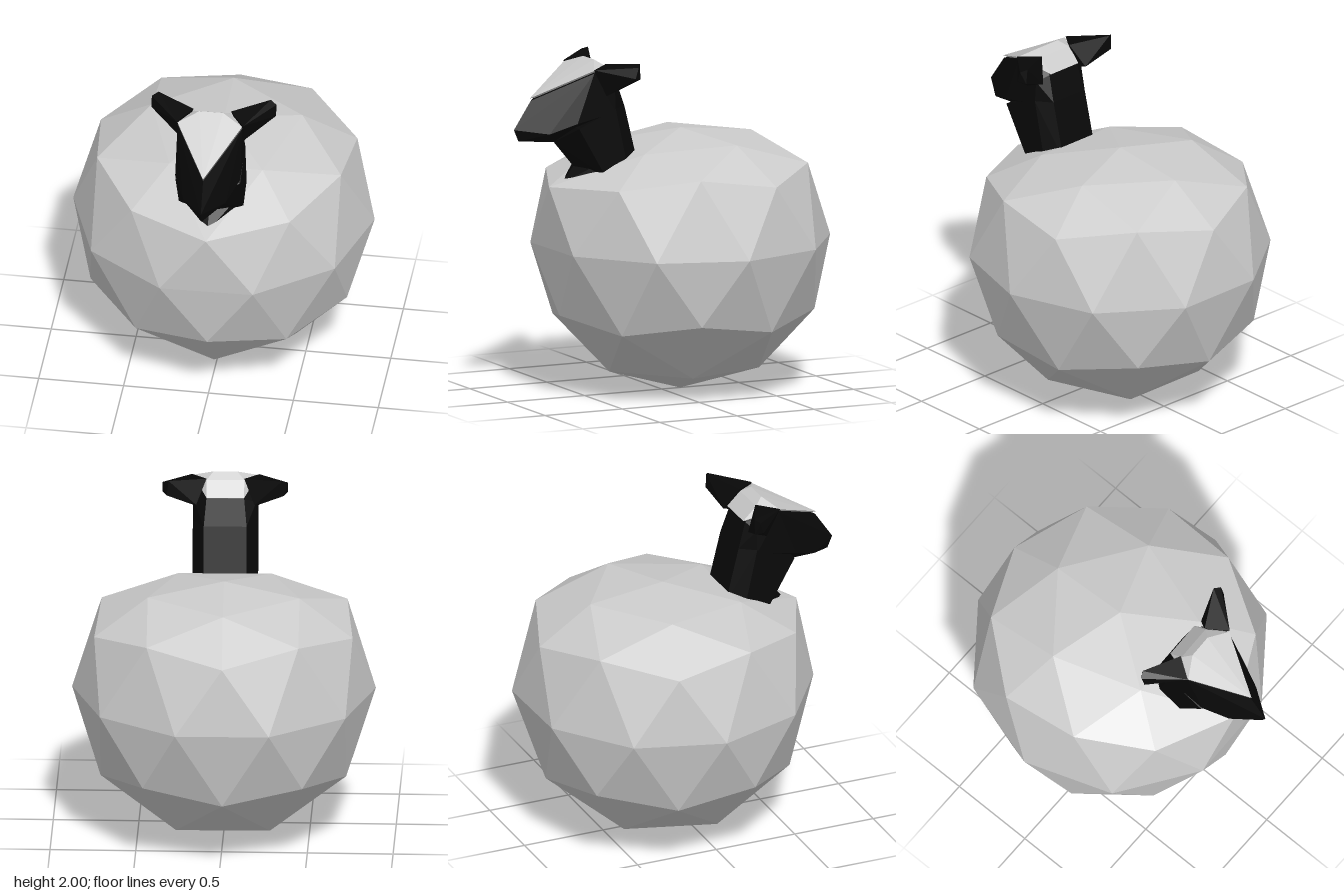
import * as THREE from 'three';
import { ConvexGeometry } from 'three/addons/geometries/ConvexGeometry.js';

const wool = new THREE.MeshStandardMaterial({ color: 0xcccccc, flatShading: true });
const black = new THREE.MeshStandardMaterial({ color: 0x080808, flatShading: true });

// Faceted solid from corner points; mirrored across x when asked
function facet(name, material, points, mirror = true) {
  const corners = [];
  for (const [x, y, z] of points) {
    corners.push(new THREE.Vector3(x, y, z));
    if (mirror && x !== 0) corners.push(new THREE.Vector3(-x, y, z));
  }
  const mesh = new THREE.Mesh(new ConvexGeometry(corners), material);
  mesh.name = name;
  return mesh;
}

// Icosphere with a pole up, flattened on top and pulled out at the chest
function makeBody() {
  const r = 0.885;
  const geo = new THREE.IcosahedronGeometry(r, 1);
  geo.rotateX(-Math.atan((1 + Math.sqrt(5)) / 2));
  geo.rotateY(Math.PI);
  geo.translate(0, r, -0.12);
  const p = geo.attributes.position;
  for (let i = 0; i < p.count; i++) {
    const x = p.getX(i), y = p.getY(i), z = p.getZ(i);
    if (y > 1.7) p.setY(i, 1.54);
    else if (y > 1.5) p.setY(i, z > 0 ? 1.45 : 1.49);
    else if (y > 1.3 && z > 0.5 && Math.abs(x) < 0.05) p.setXYZ(i, 0, 1.255, 0.74);
  }
  geo.computeVertexNormals();
  const mesh = new THREE.Mesh(geo, wool);
  mesh.name = 'woolBody';
  return mesh;
}

export function createModel() {
  const model = new THREE.Group();
  model.name = 'sheep';
  const sheep = new THREE.Group();
  sheep.name = 'turnedSheep';
  sheep.add(makeBody());

  // Neck column and the small flare where it meets the chest
  sheep.add(facet('neck', black, [
    [0.125, 1.38, 0.225], [0.19, 1.36, 0.32], [0.19, 1.33, 0.47], [0, 1.36, 0.575],
    [0.125, 1.72, 0.31], [0.19, 1.72, 0.4], [0.19, 1.62, 0.64], [0, 1.52, 0.71],
  ]));
  sheep.add(facet('neckFlare', black, [
    [0, 1.27, 0.66], [0, 1.38, 0.57], [0.19, 1.43, 0.44], [0.15, 1.34, 0.5], [0, 1.3, 0.4],
  ]));

  // Wedge-shaped head with the muzzle
  sheep.add(facet('head', black, [
    [0.125, 1.72, 0.31], [0.19, 1.7, 0.4], [0.11, 1.875, 0.36], [0.18, 1.84, 0.4],
    [0.07, 1.985, 0.48], [0.19, 1.94, 0.54], [0, 1.775, 0.86],
    [0.19, 1.65, 0.65], [0.125, 1.59, 0.8], [0, 1.61, 0.97], [0, 1.54, 0.94], [0, 1.52, 0.71],
  ]));

  // Wool cap over the crown and forehead
  sheep.add(facet('woolCap', wool, [
    [0.11, 1.885, 0.347], [0.11, 1.965, 0.43], [0.07, 2.0, 0.48],
    [0.19, 1.955, 0.545], [0, 1.79, 0.866], [0, 1.8, 0.55],
  ]));

  // Ears, swept out and back
  for (const s of [1, -1]) {
    sheep.add(facet(s > 0 ? 'leftEar' : 'rightEar', black, [
      [0.195, 1.96, 0.545], [0.11, 1.975, 0.425], [0.19, 1.8, 0.46], [0.17, 1.84, 0.35],
      [0.33, 2.0, 0.315], [0.366, 1.985, 0.34], [0.366, 1.92, 0.36], [0.34, 1.91, 0.315],
    ].map(([x, y, z]) => [x * s, y, z]), false));
  }

  // Slight turn about the body's vertical axis
  const pivot = new THREE.Group();
  pivot.name = 'pivot';
  sheep.position.z = 0.12;
  pivot.position.z = -0.12;
  pivot.rotation.y = 0.022;
  pivot.add(sheep);
  model.add(pivot);
  return model;
}
